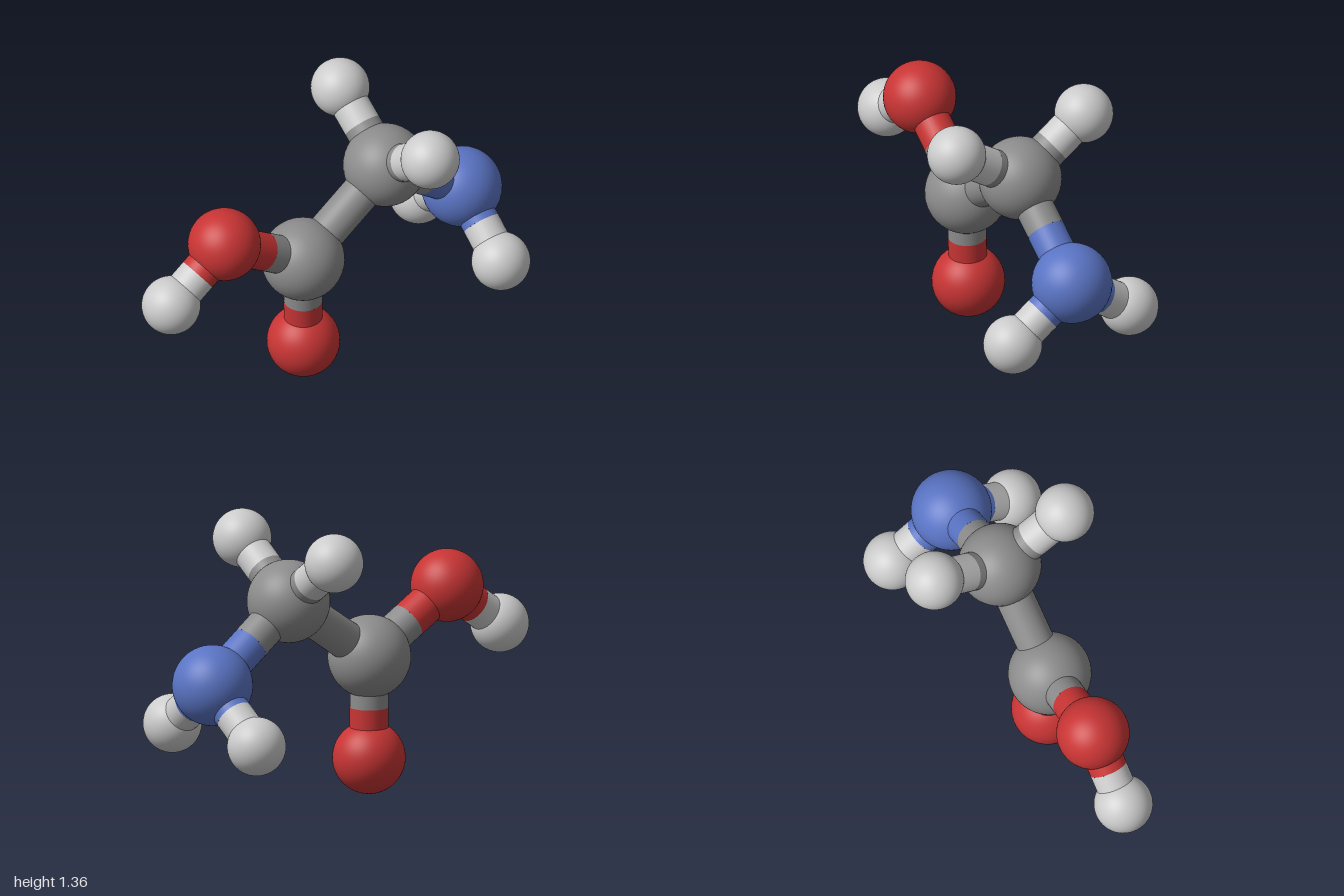
import * as THREE from 'three';

const ELEMENTS = {
  carbon: { radius: 0.194, color: 0x8c8c8c },
  oxygen: { radius: 0.17, color: 0xc83434 },
  nitrogen: { radius: 0.188, color: 0x5a74c4 },
  hydrogen: { radius: 0.137, color: 0xcccccc },
};

// name: [element, x, y, z]
const ATOMS = {
  acidCarbon: ['carbon', -0.117, 0.648, 0.003],
  middleCarbon: ['carbon', 0.358, 0.978, 0],
  doubleOxygen: ['oxygen', -0.11, 0.17, -0.003],
  acidOxygen: ['oxygen', -0.56, 0.926, -0.012],
  acidHydrogen: ['hydrogen', -0.863, 0.706, -0.018],
  nitrogen: ['nitrogen', 0.809, 0.643, -0.008],
  upperFrontHydrogen: ['hydrogen', 0.362, 1.216, 0.346],
  upperBackHydrogen: ['hydrogen', 0.358, 1.22, -0.345],
  lowerFrontHydrogen: ['hydrogen', 0.8, 0.405, 0.307],
  lowerBackHydrogen: ['hydrogen', 0.796, 0.409, -0.325],
};

const BONDS = [
  ['acidCarbon', 'middleCarbon'],
  ['acidCarbon', 'doubleOxygen'],
  ['acidCarbon', 'acidOxygen'],
  ['acidOxygen', 'acidHydrogen'],
  ['middleCarbon', 'nitrogen'],
  ['middleCarbon', 'upperFrontHydrogen'],
  ['middleCarbon', 'upperBackHydrogen'],
  ['nitrogen', 'lowerFrontHydrogen'],
  ['nitrogen', 'lowerBackHydrogen'],
];

const BOND_RADIUS = 0.09;
const UP = new THREE.Vector3(0, 1, 0);

export function createModel() {
  const model = new THREE.Group();
  model.name = 'molecule';

  const materials = {};
  for (const [element, { color }] of Object.entries(ELEMENTS)) {
    materials[element] = new THREE.MeshStandardMaterial({ color });
  }
  const position = (name) => new THREE.Vector3(...ATOMS[name].slice(1));

  // Atoms
  for (const [name, [element]] of Object.entries(ATOMS)) {
    const atom = new THREE.Mesh(
      new THREE.SphereGeometry(ELEMENTS[element].radius, 48, 32), materials[element]);
    atom.name = name + 'Atom';
    atom.position.copy(position(name));
    model.add(atom);
  }

  // Half of a bond, from an atom to the midpoint, in that atom's colour
  function halfBond(from, to) {
    const start = position(from);
    const middle = start.clone().lerp(position(to), 0.5);
    const direction = middle.clone().sub(start);
    const half = new THREE.Mesh(
      new THREE.CylinderGeometry(BOND_RADIUS, BOND_RADIUS, direction.length(), 32, 1, true),
      materials[ATOMS[from][0]]);
    half.name = from + 'HalfBond';
    half.position.copy(start).lerp(middle, 0.5);
    half.quaternion.setFromUnitVectors(UP, direction.normalize());
    return half;
  }

  // Bonds
  for (const [a, b] of BONDS) {
    const bond = new THREE.Group();
    bond.name = `${a} to ${b} bond`;
    bond.add(halfBond(a, b), halfBond(b, a));
    model.add(bond);
  }
  return model;
}
